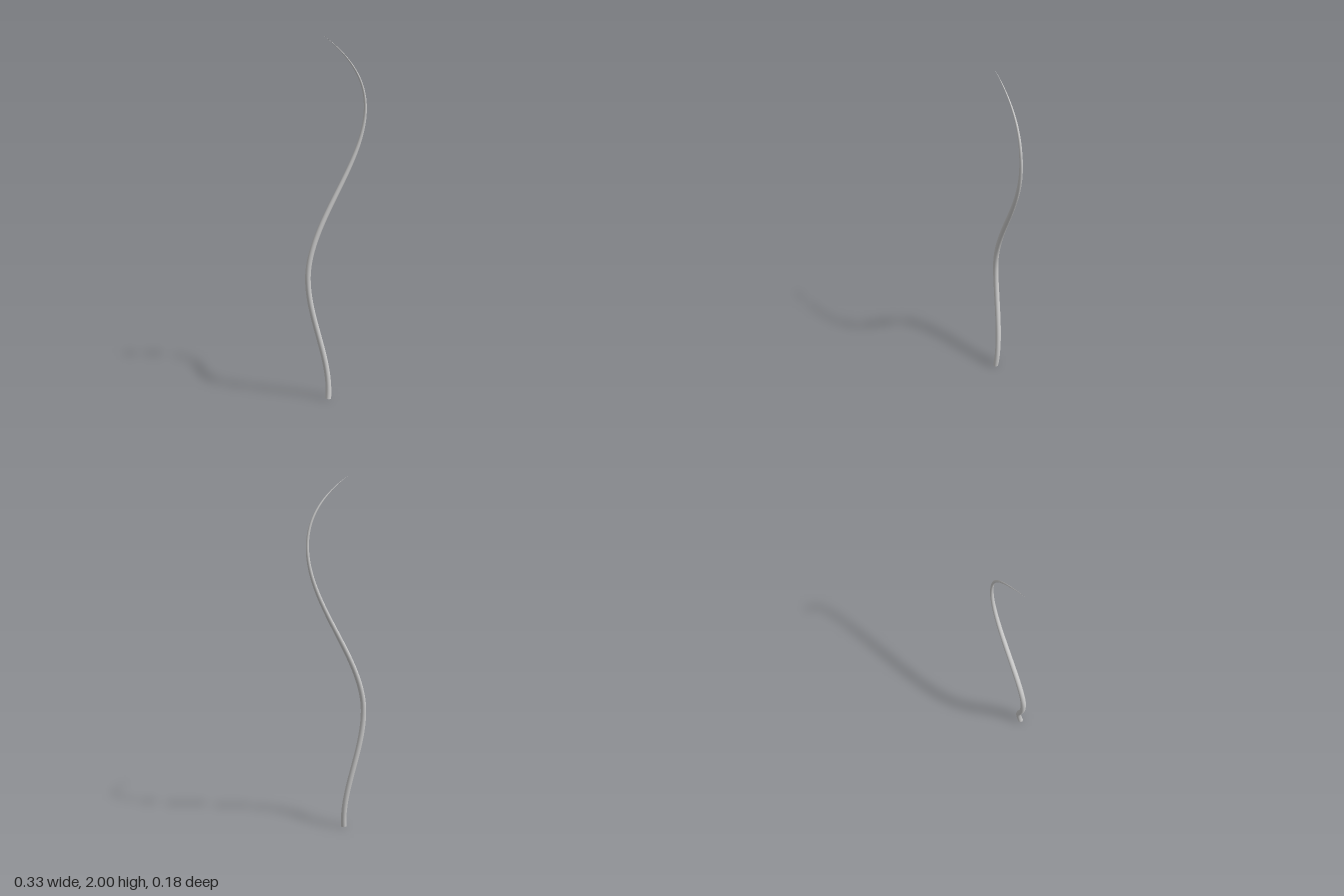
import * as THREE from 'three';

const BASE_RADIUS = 0.016;
const RINGS = 160;
const SIDES = 16;

export function createModel() {
  const group = new THREE.Group();
  group.name = 'strand';
  const material = new THREE.MeshStandardMaterial({ color: 0xcccccc });

  // Centre line from root to tip: one smooth bend per Bezier piece
  const path = new THREE.CurvePath();
  [
    [[-0.04, 0.001, 0.072], [-0.026, 0.23, 0.035], [-0.151, 0.46, 0.073], [-0.151, 0.69, 0.074]],
    [[-0.151, 0.69, 0.074], [-0.151, 1.0, 0.075], [0.157, 1.31, -0.092], [0.157, 1.62, -0.079]],
    [[0.157, 1.62, -0.079], [0.157, 1.747, -0.074], [0.104, 1.873, -0.053], [-0.066, 2.0, 0.067]],
  ].forEach((piece) => {
    path.add(new THREE.CubicBezierCurve3(...piece.map((p) => new THREE.Vector3(...p))));
  });

  // Tube whose rings shrink towards a fine point
  const tube = new THREE.TubeGeometry(path, RINGS, BASE_RADIUS, SIDES, false);
  const pos = tube.attributes.position;
  const v = new THREE.Vector3();
  for (let i = 0; i <= RINGS; i++) {
    const t = i / RINGS;
    const centre = path.getPointAt(t);
    const scale = 1 - Math.pow(t, 3);
    for (let j = 0; j <= SIDES; j++) {
      const k = i * (SIDES + 1) + j;
      v.fromBufferAttribute(pos, k).sub(centre).multiplyScalar(scale).add(centre);
      pos.setXYZ(k, v.x, v.y, v.z);
    }
  }
  const shaft = new THREE.Mesh(tube, material);
  shaft.name = 'shaft';
  group.add(shaft);

  // Flat cut at the root, square to the path
  const cap = new THREE.Mesh(new THREE.CircleGeometry(BASE_RADIUS, SIDES), material);
  cap.name = 'rootCap';
  cap.position.copy(path.getPointAt(0));
  cap.quaternion.setFromUnitVectors(new THREE.Vector3(0, 0, 1), path.getTangentAt(0).negate());
  group.add(cap);

  return group;
}
